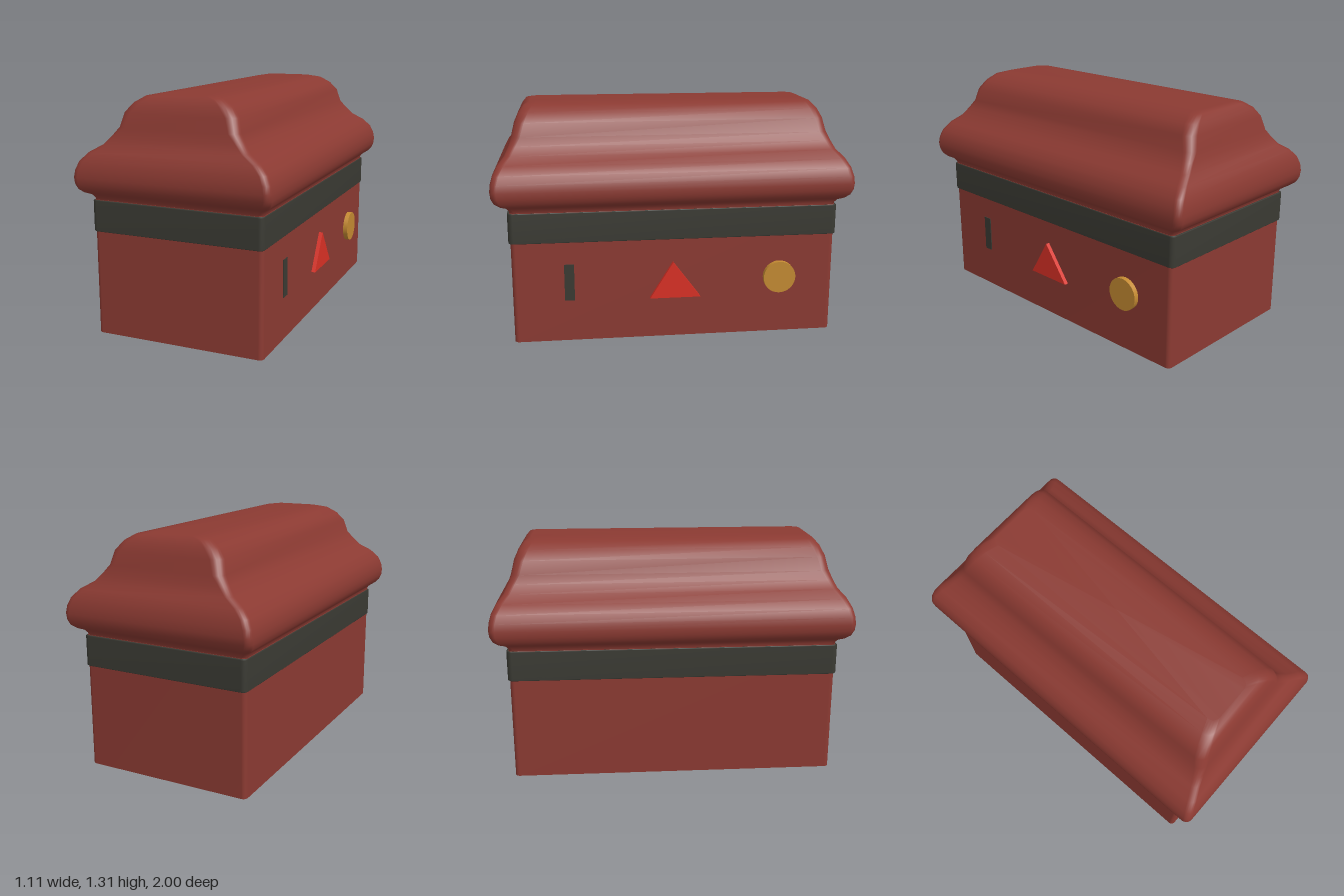
import * as THREE from 'three';

const paint = (name, color) => {
  const m = new THREE.MeshStandardMaterial({ color });
  m.name = name;
  return m;
};

// Rounded rectangle in plan, running from +x towards +z
function ring(hx, hz, r, y) {
  const pts = [], steps = 5;
  for (let q = 0; q < 4; q++) {
    const cx = (q === 0 || q === 3 ? 1 : -1) * (hx - r);
    const cz = (q < 2 ? 1 : -1) * (hz - r);
    for (let s = 0; s <= steps; s++) {
      const a = (q + s / steps) * Math.PI / 2;
      pts.push([cx + r * Math.cos(a), y, cz + r * Math.sin(a)]);
    }
  }
  return pts;
}

// Skin stacked sections [hx, hz, radius, y]; smoothTop blends the cap into the sides
function loft(sections, smoothTop) {
  const rings = sections.map(s => ring(...s));
  const n = rings[0].length, pos = rings.flat(2), index = [];
  for (let i = 0; i < rings.length - 1; i++) {
    for (let j = 0; j < n; j++) {
      const a = i * n + j, b = i * n + (j + 1) % n;
      index.push(a, a + n, b, b, a + n, b + n);
    }
  }
  const cap = (loop, top) => {
    let base = (rings.length - 1) * n;
    if (!(top && smoothTop)) {
      base = pos.length / 3;
      pos.push(...loop.flat());
    }
    const c = pos.length / 3;
    pos.push(0, loop[0][1], 0);
    for (let j = 0; j < n; j++) {
      const a = base + j, b = base + (j + 1) % n;
      index.push(c, top ? b : a, top ? a : b);
    }
  };
  cap(rings[0], false);
  cap(rings[rings.length - 1], true);
  const g = new THREE.BufferGeometry();
  g.setAttribute('position', new THREE.Float32BufferAttribute(pos, 3));
  g.setIndex(index);
  g.computeVertexNormals();
  return g;
}

export function createModel() {
  const red = paint('brick red', 0x8b3a32);
  const dark = paint('charcoal', 0x3a3a33);
  const scarlet = paint('scarlet', 0xd93025);
  const gold = paint('gold', 0xc48a32);
  const group = new THREE.Group();
  const add = (name, geometry, material) => {
    const mesh = new THREE.Mesh(geometry, material);
    mesh.name = name;
    group.add(mesh);
    return mesh;
  };

  // Chest body
  add('body', loft([[0.485, 0.908, 0.025, 0], [0.485, 0.908, 0.025, 0.75]]), red);

  // Band around the rim, with slightly eased edges
  add('band', loft([
    [0.487, 0.915, 0.025, 0.577], [0.491, 0.919, 0.028, 0.581],
    [0.491, 0.919, 0.028, 0.744], [0.487, 0.915, 0.025, 0.748],
  ]), dark);

  // Lid: bulging skirt rising in an S-curve to a flat crown
  add('lid', loft([
    [0.482, 0.905, 0.025, 0.74], [0.484, 0.908, 0.025, 0.76],
    [0.497, 0.925, 0.027, 0.78], [0.525, 0.957, 0.03, 0.795],
    [0.543, 0.982, 0.033, 0.815], [0.553, 0.996, 0.035, 0.845],
    [0.555, 1.0, 0.035, 0.88], [0.548, 0.996, 0.035, 0.92],
    [0.528, 0.984, 0.035, 0.965], [0.483, 0.96, 0.035, 1.01],
    [0.415, 0.925, 0.035, 1.05], [0.375, 0.905, 0.04, 1.095],
    [0.342, 0.89, 0.05, 1.14], [0.323, 0.872, 0.055, 1.215],
    [0.28, 0.85, 0.055, 1.265], [0.22, 0.822, 0.05, 1.3],
    [0.145, 0.79, 0.045, 1.312],
  ], true), red);

  // Ornaments on the left (+x) side
  const slot = add('slot', new THREE.BoxGeometry(0.008, 0.21, 0.055), dark);
  slot.position.set(0.486, 0.345, 0.594);

  const outline = new THREE.Shape([[-0.145, 0.238], [0.14, 0.238], [-0.015, 0.447]]
    .map(p => new THREE.Vector2(...p)));
  const triangle = add('triangle',
    new THREE.ExtrudeGeometry(outline, { depth: 0.03, bevelEnabled: false }), scarlet);
  triangle.rotation.y = Math.PI / 2;
  triangle.position.x = 0.478;

  const disc = add('disc', new THREE.CylinderGeometry(0.092, 0.092, 0.034, 32), gold);
  disc.rotation.z = -Math.PI / 2;
  disc.position.set(0.496, 0.336, -0.595);

  return group;
}
